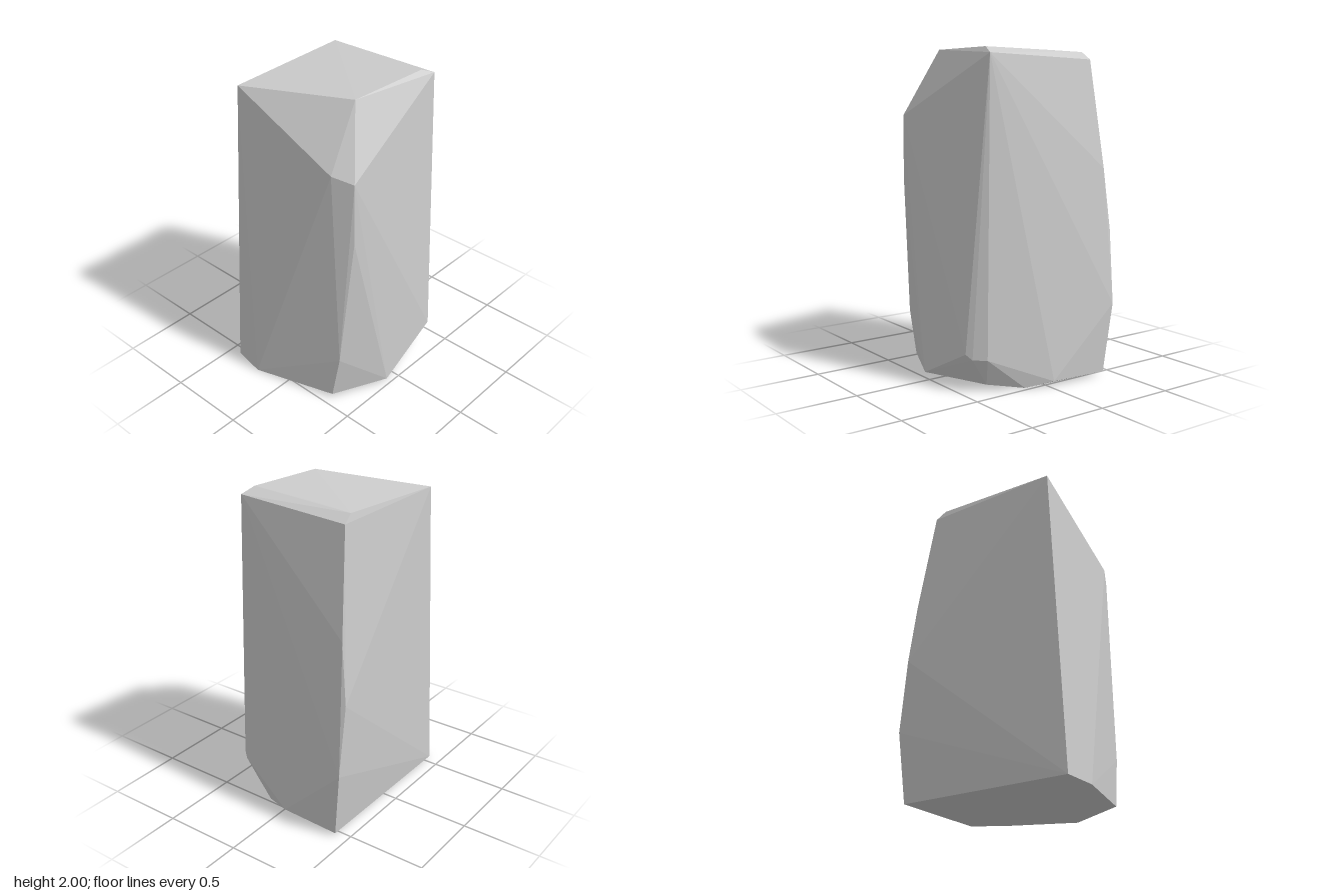
import * as THREE from 'three';
import { ConvexGeometry } from 'three/addons/geometries/ConvexGeometry.js';

// Corners of the boulder, grouped by height
const crown = [
  [-0.435, 1.94, -0.405], [-0.2, 1.99, 0.28], [0.33, 2.0, 0.315], [0.415, 1.965, 0.345],
  [0.34, 1.985, -0.15], [0.36, 1.975, -0.383], [0.425, 1.93, -0.392],
];
const sides = [
  [-0.43, 1.62, 0.31], [-0.375, 1.59, 0.435], [-0.375, 1.2, 0.437], [-0.43, 0.33, 0.372],
  [0.335, 0.23, 0.465], [0.37, 0.2, 0.44], [0.43, 0.2, 0.375],
  [0.51, 1.28, -0.438], [0.53, 0.9, -0.478], [0.578, 0.45, -0.467],
];
const base = [
  [-0.58, 0, -0.22], [-0.55, 0.01, -0.42], [-0.44, 0.03, 0.32], [-0.09, 0.02, 0.475],
  [0.37, 0.035, 0.34], [0.48, 0.005, 0.14], [0.547, 0.03, -0.03], [0.55, 0.02, -0.42],
];

export function createModel() {
  const group = new THREE.Group();
  group.name = 'standingStone';

  // Faceted hull around the corners
  const points = [...crown, ...sides, ...base].map((p) => new THREE.Vector3(...p));
  const rock = new THREE.Mesh(
    new ConvexGeometry(points),
    new THREE.MeshStandardMaterial({ color: 0xcccccc, flatShading: true }),
  );
  rock.name = 'rock';
  group.add(rock);
  return group;
}
